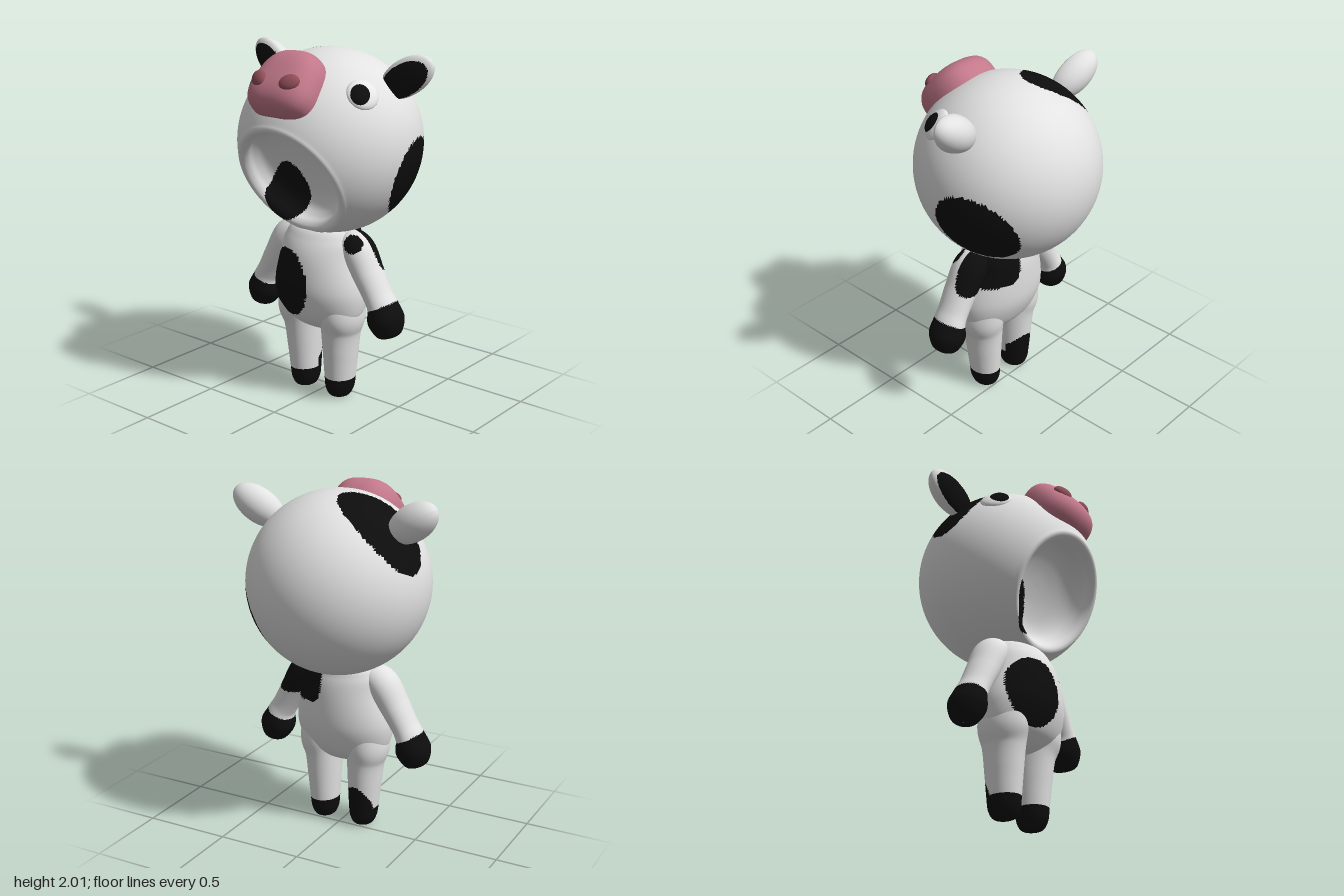
import * as THREE from 'three';
import { mergeVertices } from 'three/addons/utils/BufferGeometryUtils.js';

const mat = (name, color) => Object.assign(new THREE.MeshStandardMaterial({ color }), { name });
const V = (x, y, z) => new THREE.Vector3(x, y, z);
const sq = (v, c, r) => ((v - c) / r) ** 2;

// Splits the triangles of a geometry into plain (0) and painted (1) groups by their centre
function paint(geo, test) {
  const p = geo.attributes.position, idx = geo.index.array, lists = [[], []];
  const c = V(0, 0, 0), v = V(0, 0, 0);
  for (let i = 0; i < idx.length; i += 3) {
    c.set(0, 0, 0);
    for (let k = 0; k < 3; k++) c.add(v.fromBufferAttribute(p, idx[i + k]));
    c.divideScalar(3);
    lists[test(c) ? 1 : 0].push(idx[i], idx[i + 1], idx[i + 2]);
  }
  geo.setIndex(lists[0].concat(lists[1]));
  geo.clearGroups();
  geo.addGroup(0, lists[0].length, 0);
  geo.addGroup(lists[0].length, lists[1].length, 1);
  return geo;
}

// Smooth skin over elliptical sections [x, y, z, width radius, depth radius]
function loft(sections, rings, around) {
  const path = new THREE.CatmullRomCurve3(sections.map(s => V(s[0], s[1], s[2])), false, 'catmullrom');
  const radii = new THREE.CatmullRomCurve3(sections.map(s => V(s[3], s[4], 0)), false, 'catmullrom');
  const pos = [], index = [];
  for (let i = 0; i <= rings; i++) {
    const c = path.getPoint(i / rings), t = path.getTangent(i / rings), r = radii.getPoint(i / rings);
    const n = Math.hypot(t.x, t.y) || 1;
    for (let j = 0; j < around; j++) {
      const a = j / around * Math.PI * 2, u = Math.cos(a) * Math.max(r.x, 0.0005);
      pos.push(c.x + u * t.y / n, Math.max(0, c.y - u * t.x / n), c.z + Math.sin(a) * Math.max(r.y, 0.0005));
      if (i < rings) {
        const k = (j + 1) % around, p = i * around, q = p + around;
        index.push(p + j, q + j, p + k, q + j, q + k, p + k);
      }
    }
  }
  const geo = new THREE.BufferGeometry();
  geo.setAttribute('position', new THREE.Float32BufferAttribute(pos, 3));
  geo.setIndex(index);
  geo.computeVertexNormals();
  return geo;
}

export function createModel() {
  const model = new THREE.Group();
  const white = mat('white hide', 0xe2e2e2), black = mat('black patches', 0x0d0d0d);
  const eyeWhite = mat('eye white', 0xececec);
  const pink = mat('pink snout', 0xc2788a), rose = mat('dark pink nostril', 0x8f4d57);
  const hide = [white, black];
  const add = (name, geo, material) => {
    const m = new THREE.Mesh(geo, material);
    m.name = name;
    model.add(m);
    return m;
  };
  // Flattened ball lying on a surface and facing along a normal
  const button = (name, material, at, normal, rx, ry, rz) => {
    const m = add(name, new THREE.SphereGeometry(1, 28, 20), material);
    m.scale.set(rx, ry, rz);
    m.position.copy(at);
    m.quaternion.setFromUnitVectors(V(0, 0, 1), normal.clone().normalize());
    return m;
  };

  // Head: ball with a hollow mouth turned forwards and down
  const R = 0.52, headY = 1.48, profile = [];
  const rimAngle = Math.atan2(0.375, 0.362);
  for (let i = 0; i <= 84; i++) {
    const a = -Math.PI / 2 + (rimAngle + Math.PI / 2) * i / 84;
    profile.push(new THREE.Vector2(Math.max(0, Math.cos(a) * R), Math.sin(a) * R));
  }
  const mouth = [[0.361, 0.376], [0.345, 0.39], [0.322, 0.387], [0.303, 0.362], [0.292, 0.32],
    [0.262, 0.275], [0.2, 0.243], [0.1, 0.225], [0, 0.22]].map(p => new THREE.Vector2(...p));
  profile.push(...new THREE.SplineCurve(mouth).getPoints(40).slice(1));
  profile[profile.length - 1].x = 0;
  const head = new THREE.LatheGeometry(profile, 160);
  head.rotateX(Math.acos(-0.442));
  head.translate(0, headY, 0);
  add('head', paint(head, p => {
    const side = p.x > 0 && Math.hypot(p.z + 0.15, p.y - 1.32) < 0.22;
    const s = Math.atan2(-p.x, p.y - headY);
    const crown = p.x < 0 && p.y > headY && sq(s, 0.72, 0.62) + sq(p.z, -0.09, 0.18) < 1;
    const w = 0.115 - 0.16 * Math.max(0, p.y - 1.2);
    const chin = p.z > 0.1 && sq(p.x, -0.15, w) + sq(p.y, 1.205, 0.17) < 1;
    return side || crown || chin;
  }), hide);

  // Snout: rounded block, narrower towards the top
  let snout = new THREE.SphereGeometry(1, 48, 32);
  snout.deleteAttribute('uv');
  snout.deleteAttribute('normal');
  snout = mergeVertices(snout, 1e-4);
  const sp = snout.attributes.position;
  for (let i = 0; i < sp.count; i++) {
    const d = V(0, 0, 0).fromBufferAttribute(sp, i);
    const k = (Math.abs(d.x) ** 2.8 + Math.abs(d.y) ** 2.8 + Math.abs(d.z) ** 2.8) ** (-1 / 2.8);
    d.multiplyScalar(k);
    sp.setXYZ(i, d.x * 0.205 * (1 - 0.13 * d.y), d.y * 0.2, d.z * 0.155);
  }
  snout.computeVertexNormals();
  const snoutMesh = add('snout', snout, pink);
  snoutMesh.rotation.x = -Math.PI / 4;
  snoutMesh.position.set(0, headY + 0.335, 0.33);

  for (const s of [1, -1]) {
    const side = s > 0 ? 'left' : 'right';
    const nostril = button(side + 'Nostril', rose, V(s * 0.105, 1.875, 0.465), V(s * 0.25, 0.5, 0.83), 0.058, 0.045, 0.028);
    nostril.rotateZ(s * 0.35);

    // Eyes
    const n = V(s * 0.365, 0.325, 0.18).normalize();
    button(side + 'Eye', eyeWhite, n.clone().multiplyScalar(0.51).add(V(0, headY, 0)), n, 0.09, 0.09, 0.035);
    const g = V(s * 0.365, 0.325, 0.2).normalize();
    button(side + 'Pupil', black, g.clone().multiplyScalar(0.523).add(V(0, headY, 0)), g, 0.06, 0.066, 0.03);

    // Ears: round at the back, nearly flat dark inside at the front
    const ear = new THREE.SphereGeometry(1, 48, 40);
    ear.rotateX(Math.PI / 2);
    const ep = ear.attributes.position;
    for (let i = 0; i < ep.count; i++) {
      const z = ep.getZ(i);
      ep.setXYZ(i, ep.getX(i) * 0.17, ep.getY(i) * 0.1, z * (z > 0 ? 0.045 : 0.1));
    }
    ear.computeVertexNormals();
    paint(ear, p => p.z > 0 && sq(p.x, -s * 0.013, 0.152) + sq(p.y, -0.008, 0.085) < 1);
    const earMesh = add(side + 'Ear', ear, hide);
    earMesh.rotation.set(0, s * 0.18, s * 0.55);
    earMesh.position.set(s * 0.475, 1.875, -0.055);
  }

  // Patches around the left shoulder, shared by torso and arm
  const shoulderPatch = p =>
    sq(p.x, 0.25, 0.21) ** 2 + sq(p.y, 0.94, 0.16) ** 2 + sq(p.z, -0.07, 0.13) ** 2 < 1 ||
    p.distanceTo(V(0.27, 0.96, 0.14)) < 0.058;

  // Torso with a round belly
  const torso = loft([
    [0, 0.4, 0.075, 0.001, 0.001], [0, 0.405, 0.075, 0.1, 0.06], [0, 0.44, 0.08, 0.2, 0.115],
    [0, 0.5, 0.085, 0.265, 0.165], [0, 0.6, 0.083, 0.293, 0.206], [0, 0.7, 0.08, 0.29, 0.22],
    [0, 0.85, 0.07, 0.255, 0.212], [0, 0.95, 0.055, 0.235, 0.185], [0, 1.015, 0.04, 0.18, 0.14],
    [0, 1.035, 0.04, 0.001, 0.001]], 84, 84);
  add('torso', paint(torso, p =>
    p.z > 0.08 && sq(p.x, -0.1, 0.165) + sq(p.y, 0.69, 0.2) < 1 || shoulderPatch(p)), hide);

  for (const s of [1, -1]) {
    const side = s > 0 ? 'left' : 'right';
    // Legs with dark feet
    const leg = loft([
      [s * 0.127, 0, 0.07, 0.001, 0.001], [s * 0.127, 0.004, 0.07, 0.052, 0.06],
      [s * 0.128, 0.05, 0.07, 0.077, 0.09], [s * 0.13, 0.12, 0.07, 0.086, 0.098],
      [s * 0.134, 0.26, 0.072, 0.097, 0.11], [s * 0.139, 0.4, 0.075, 0.108, 0.125],
      [s * 0.15, 0.5, 0.08, 0.125, 0.15], [s * 0.14, 0.64, 0.08, 0.12, 0.15]], 84, 56);
    add(side + 'Leg', paint(leg, p => p.y < 0.12 ||
      s < 0 && p.z < 0.06 && sq(p.x, -0.12, 0.09) + sq(p.y, 0.12, 0.14) < 1), hide);

    // Arms with dark hands
    const arm = loft([
      [s * 0.13, 0.97, 0.055, 0.001, 0.001], [s * 0.16, 0.957, 0.055, 0.06, 0.07],
      [s * 0.245, 0.905, 0.06, 0.092, 0.102], [s * 0.325, 0.78, 0.065, 0.083, 0.1],
      [s * 0.39, 0.67, 0.065, 0.075, 0.095], [s * 0.424, 0.61, 0.063, 0.08, 0.1],
      [s * 0.448, 0.535, 0.062, 0.101, 0.11], [s * 0.468, 0.468, 0.062, 0.078, 0.085],
      [s * 0.476, 0.442, 0.062, 0.048, 0.055], [s * 0.478, 0.435, 0.062, 0.001, 0.001]], 90, 56);
    add(side + 'Arm', paint(arm, p =>
      0.455 * Math.abs(p.x) - 0.89 * p.y > -0.35 || s > 0 && shoulderPatch(p)), hide);
  }
  return model;
}
